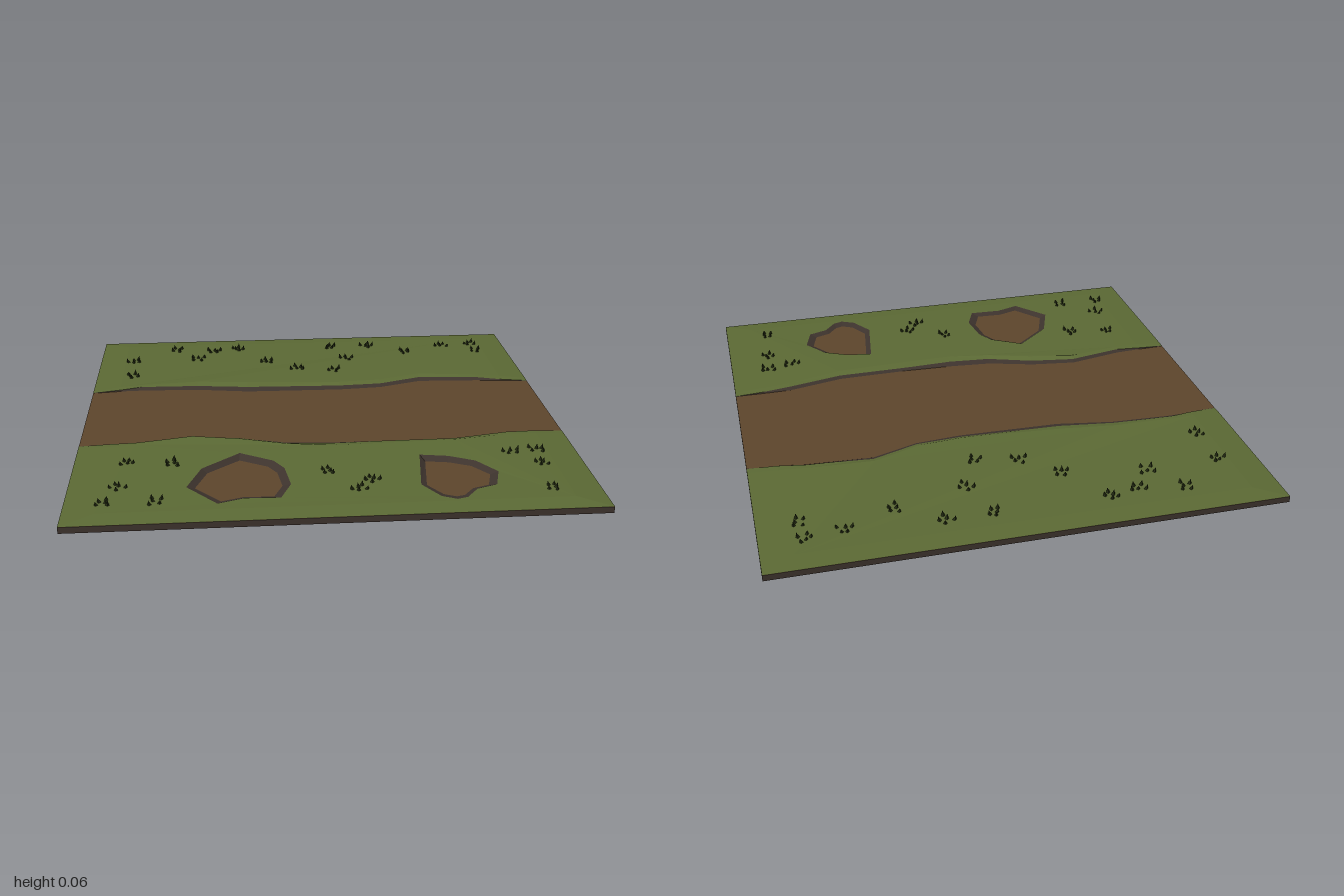
import * as THREE from 'three';
import { mergeGeometries } from 'three/addons/utils/BufferGeometryUtils.js';

const mat = (name, color) => Object.assign(new THREE.MeshStandardMaterial({ color }), { name });
const BASE = 0.025;

// Turf height: rises gently towards the road, fading at the left and right ends
const turfHeight = (x, z) =>
  0.034 + 0.019 * Math.max(0, 0.88 - Math.abs(z)) * Math.min(1, Math.max(0, (0.88 - Math.abs(x)) / 0.3));

// Flat-shaded strip joining two rows of points, every face turned upwards
function strip(a, b, closed = false) {
  const pos = [];
  const tri = (p, q, r) => {
    const ny = (q[2] - p[2]) * (r[0] - p[0]) - (q[0] - p[0]) * (r[2] - p[2]);
    pos.push(...p, ...(ny > 0 ? [...q, ...r] : [...r, ...q]));
  };
  const n = closed ? a.length : a.length - 1;
  for (let i = 0; i < n; i++) {
    const j = (i + 1) % a.length;
    tri(a[i], b[i], b[j]);
    tri(a[i], b[j], a[j]);
  }
  const g = new THREE.BufferGeometry();
  g.setAttribute('position', new THREE.Float32BufferAttribute(pos, 3));
  g.computeVertexNormals();
  return g;
}

// Level area with holes, draped over the turf height
function plateau(outline, holes) {
  const pts = (list) => list.map(([x, z]) => new THREE.Vector2(x, -z));
  const shape = new THREE.Shape(pts(outline));
  holes.forEach((h) => shape.holes.push(new THREE.Path(pts(h))));
  const g = new THREE.ShapeGeometry(shape).rotateX(-Math.PI / 2).toNonIndexed();
  const p = g.attributes.position;
  for (let i = 0; i < p.count; i++) p.setY(i, turfHeight(p.getX(i), p.getZ(i)));
  g.computeVertexNormals();
  g.deleteAttribute('uv');
  return g;
}

// Bank profiles along the road: x, bank foot z, bank top z, lip z
const backBank = [
  [-1, -0.305, -0.308, -0.33], [-0.88, -0.318, -0.322, -0.355], [-0.78, -0.322, -0.343, -0.365],
  [-0.53, -0.312, -0.336, -0.37], [-0.3, -0.272, -0.305, -0.342], [0.12, -0.264, -0.29, -0.312],
  [0.31, -0.28, -0.302, -0.328], [0.5, -0.345, -0.37, -0.398], [0.77, -0.332, -0.348, -0.375],
  [0.88, -0.318, -0.322, -0.36], [1, -0.305, -0.308, -0.34],
];
const frontBank = [
  [-1, 0.295, 0.298, 0.33], [-0.88, 0.291, 0.295, 0.33], [-0.77, 0.284, 0.298, 0.32],
  [-0.54, 0.238, 0.254, 0.272], [-0.35, 0.265, 0.284, 0.31], [-0.16, 0.322, 0.35, 0.372],
  [0.02, 0.338, 0.366, 0.402], [0.22, 0.345, 0.358, 0.398], [0.53, 0.34, 0.355, 0.385],
  [0.76, 0.29, 0.306, 0.335], [0.88, 0.289, 0.293, 0.325], [1, 0.287, 0.29, 0.32],
];

// Bare patches in the front turf: centre, rim scale and outline
const patches = [
  { c: [-0.36, 0.67], s: 0.84, rim: [[-0.35, 0.45], [-0.22, 0.53], [-0.18, 0.6], [-0.163, 0.74],
    [-0.205, 0.845], [-0.34, 0.84], [-0.44, 0.875], [-0.555, 0.735], [-0.5, 0.58]] },
  { c: [0.46, 0.7], s: 0.82, rim: [[0.36, 0.52], [0.47, 0.54], [0.57, 0.59], [0.64, 0.69], [0.61, 0.8],
    [0.53, 0.83], [0.48, 0.895], [0.44, 0.908], [0.385, 0.88], [0.325, 0.78]] },
];

const tufts = [
  [-0.63, -0.85], [-0.45, -0.82], [-0.34, -0.84], [0.12, -0.84], [0.31, -0.84], [0.68, -0.81],
  [0.83, -0.84], [0.85, -0.73], [-0.84, -0.7], [-0.53, -0.71], [-0.2, -0.64], [0.19, -0.65],
  [0.48, -0.73], [-0.06, -0.52], [0.12, -0.48], [-0.84, -0.49], [-0.79, 0.5], [-0.61, 0.52],
  [0.73, 0.51], [0.84, 0.49], [0.83, 0.62], [-0.01, 0.64], [0.15, 0.72], [0.09, 0.79],
  [-0.81, 0.71], [-0.85, 0.84], [-0.67, 0.84], [0.82, 0.84],
];

export function createModel() {
  const group = new THREE.Group();
  const grass = mat('grass', 0x5b6934);
  const dirt = mat('dirt', 0x5d452c);
  const soil = mat('dark soil', 0x3d332d);
  const blade = mat('grass blade', 0x232b12);
  const add = (name, geo, material) => {
    const m = new THREE.Mesh(geo, material);
    m.name = name;
    group.add(m);
  };

  // Ground slab with the dirt road as its top face
  const slab = new THREE.BoxGeometry(2, BASE, 2).translate(0, BASE / 2, 0);
  add('groundSlab', slab, [soil, soil, dirt, soil, soil, soil]);

  // Turf on both sides of the road
  for (const [side, rows, sign, holes] of [
    ['back', backBank, -1, []], ['front', frontBank, 1, patches.map((p) => p.rim)],
  ]) {
    const fade = (x) => Math.min(1, (1 - Math.abs(x)) / 0.22);
    const foot = rows.map(([x, f]) => [x, BASE + 0.0005, f]);
    const top = rows.map(([x, , t]) => [x, BASE + 0.001 + 0.009 * fade(x), t]);
    const lip = rows.map(([x, , , l]) => [x, Math.abs(x) === 1 ? BASE + 0.002 : turfHeight(x, l), l]);
    const inner = lip.slice(1, -1);
    const corner = [[0.88, 0.92 * sign], [-0.88, 0.92 * sign]];
    const first = lip[0], last = lip[lip.length - 1];
    const outerEdge = [last, [1, BASE + 0.001, sign], [-1, BASE + 0.001, sign], first];
    const innerEdge = [inner[inner.length - 1],
      ...corner.map(([x, z]) => [x, turfHeight(x, z), z]), inner[0]];

    add(side + 'RoadBank', strip(foot, top), soil);
    add(side + 'Turf', mergeGeometries([
      strip(top, lip),
      strip(outerEdge, innerEdge),
      plateau([...inner.map(([x, , z]) => [x, z]), ...corner], holes),
    ].map((g) => { g.deleteAttribute('uv'); return g; })), grass);
  }

  // Sloping rims down to the bare patches
  patches.forEach(({ c, s, rim }, i) => {
    const upper = rim.map(([x, z]) => [x, turfHeight(x, z), z]);
    const lower = rim.map(([x, z]) => [c[0] + (x - c[0]) * s, BASE + 0.0005, c[1] + (z - c[1]) * s]);
    add('patchRim' + (i + 1), strip(upper, lower, true), soil);
  });

  // Tufts of short pointed blades
  let seed = 7;
  const rand = () => (seed = (seed * 16807) % 2147483647) / 2147483647;
  const blades = [];
  for (const [tx, tz] of tufts) {
    const turn = rand() * 6.28;
    for (let k = 0; k < 5; k++) {
      const a = turn + k * 1.257 + rand() * 0.5;
      const r = k === 0 ? 0.004 : 0.02 + rand() * 0.012;
      const x = tx + Math.cos(a) * r, z = tz + Math.sin(a) * r;
      const h = 0.017 + rand() * 0.008;
      const g = new THREE.ConeGeometry(0.0085, h, 4).translate(0, h / 2, 0);
      g.rotateZ(-Math.cos(a) * 0.25).rotateX(Math.sin(a) * 0.25);
      blades.push(g.translate(x, turfHeight(x, z) - 0.002, z).toNonIndexed());
    }
  }
  const tuftGeo = mergeGeometries(blades);
  tuftGeo.computeVertexNormals();
  add('grassTufts', tuftGeo, blade);

  return group;
}
